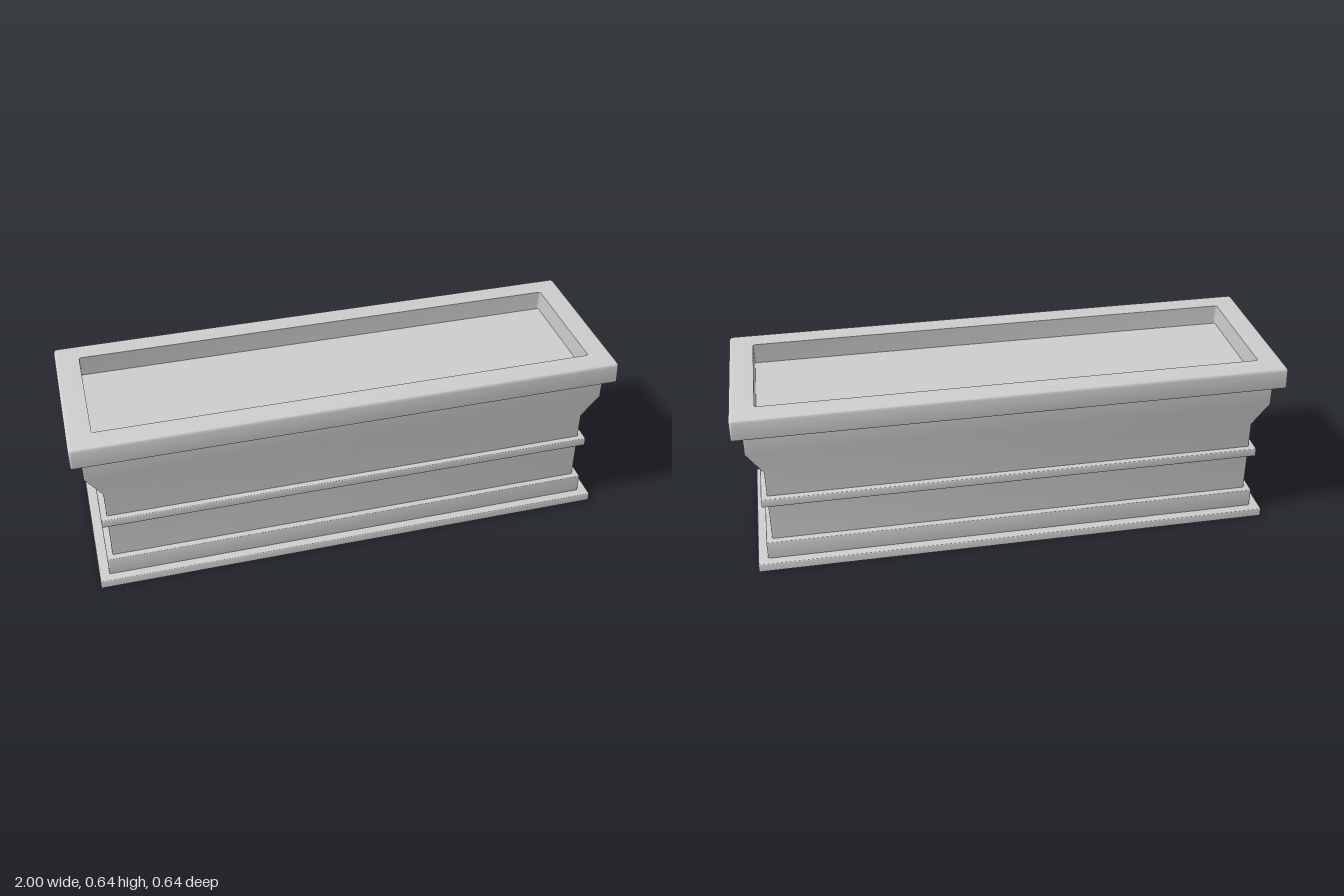
import * as THREE from 'three';
import { toCreasedNormals } from 'three/addons/utils/BufferGeometryUtils.js';

const material = new THREE.MeshStandardMaterial({ color: 0xcccccc });
const CORNER_STEPS = 4;

// Points of a rounded rectangle at height y, counter-clockwise seen from above
function ring([hx, hz, y, r]) {
  const points = [];
  [[1, 1], [-1, 1], [-1, -1], [1, -1]].forEach(([sx, sz], q) => {
    for (let i = 0; i <= CORNER_STEPS; i++) {
      const a = (q + i / CORNER_STEPS) * Math.PI / 2;
      points.push([sx * (hx - r) + r * Math.cos(a), y, -(-sz * (hz - r) - r * Math.sin(a))]);
    }
  });
  return points;
}

// Skin over a stack of rounded rectangles, optionally closed at both ends
function loft(name, sections, capped = true) {
  const position = [];
  const index = [];
  const rings = sections.map(ring);
  const n = rings[0].length;
  rings.forEach((points) => points.forEach((p) => position.push(...p)));
  for (let s = 0; s < rings.length - 1; s++) {
    for (let i = 0; i < n; i++) {
      const a = s * n + i;
      const b = s * n + (i + 1) % n;
      index.push(a, a + n, b, b, a + n, b + n);
    }
  }
  if (capped) {
    const top = (rings.length - 1) * n;
    for (let i = 1; i < n - 1; i++) {
      index.push(0, i, i + 1);
      index.push(top, top + i + 1, top + i);
    }
  }
  const geometry = new THREE.BufferGeometry();
  geometry.setAttribute('position', new THREE.Float32BufferAttribute(position, 3));
  geometry.setIndex(index);
  const mesh = new THREE.Mesh(toCreasedNormals(geometry, 0.5), material);
  mesh.name = name;
  return mesh;
}

// Quarter-round edge sections; dir = +1 for a top edge, -1 for a bottom edge
function roundEdge(hx, hz, y, e, dir) {
  const sections = [];
  for (let i = 0; i <= 4; i++) {
    const a = (i / 4) * Math.PI / 2;
    const inset = e * (1 - Math.cos(a));
    sections.push([hx - inset, hz - inset, y - dir * e * (1 - Math.sin(a)), e * 1.2 - inset]);
  }
  return dir > 0 ? sections : sections.reverse();
}

// Solid moulding with softened edges
function moulding(name, hx, hz, y0, y1, e) {
  return loft(name, [...roundEdge(hx, hz, y0, e, -1), ...roundEdge(hx, hz, y1, e, 1)]);
}

export function createModel() {
  const group = new THREE.Group();
  group.name = 'planter';

  // Stepped foot and middle band
  group.add(loft('basePlate', [[0.963, 0.32, 0, 0.005], ...roundEdge(0.963, 0.32, 0.031, 0.004, 1)]));
  group.add(moulding('plinth', 0.927, 0.286, 0.028, 0.102, 0.004));
  group.add(moulding('middleBand', 0.927, 0.286, 0.258, 0.291, 0.004));

  // Trough wall flaring out below the rim
  group.add(loft('body', [
    [0.905, 0.263, 0.09, 0.006],
    [0.905, 0.263, 0.389, 0.006],
    [0.962, 0.28, 0.481, 0.006],
    [0.962, 0.28, 0.565, 0.006],
  ]));

  // Hollow rim: underside, outer face, top face, inner face
  const e = 0.012;
  group.add(loft('rim', [
    [0.92, 0.24, 0.564, 0.008],
    ...roundEdge(1, 0.315, 0.564, 0.006, -1),
    ...roundEdge(1, 0.315, 0.645, e, 1),
    [0.912, 0.23, 0.645, 0.008],
    [0.912, 0.23, 0.564, 0.008],
  ], false));

  // Recessed bed inside the rim
  group.add(loft('bed', [[0.913, 0.231, 0.56, 0.008], [0.913, 0.231, 0.568, 0.008]]));

  return group;
}
